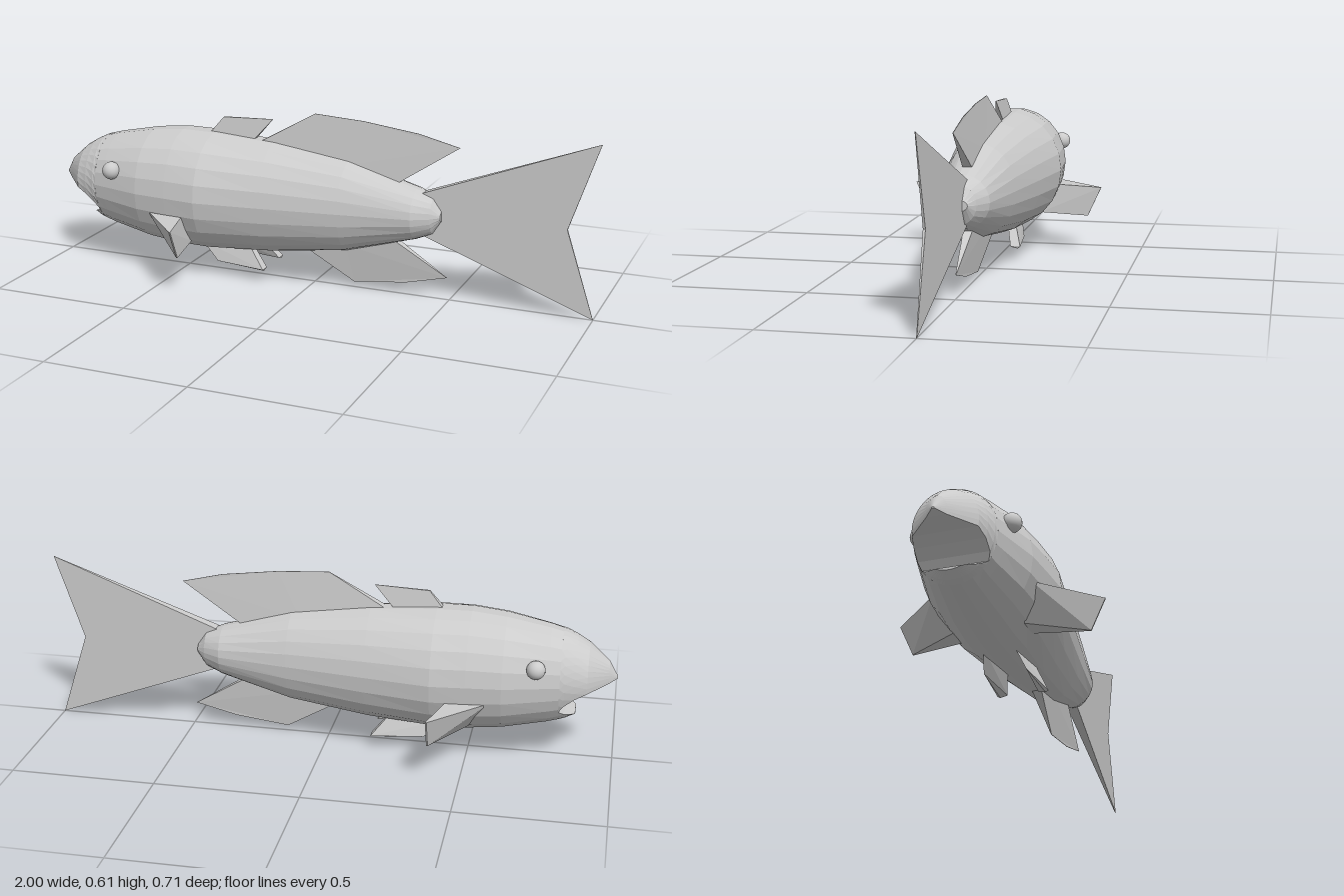
import * as THREE from 'three';
import { ConvexGeometry } from 'three/addons/geometries/ConvexGeometry.js';

const material = new THREE.MeshStandardMaterial({ color: 0xcccccc, flatShading: true, side: THREE.DoubleSide });
const smooth = new THREE.MeshStandardMaterial({ color: 0xcccccc });
const SEGMENTS = 22;

function toGeometry(positions, indices) {
  const g = new THREE.BufferGeometry();
  g.setAttribute('position', new THREE.Float32BufferAttribute(positions, 3));
  g.setIndex(indices);
  g.computeVertexNormals();
  return g;
}

// Loft along x through elliptical arcs [x, centreY, radiusY, radiusZ, arcStart, arcEnd].
// A partial arc is closed by its chord; both ends are capped.
function loft(sections) {
  const pos = [], idx = [], n = SEGMENTS;
  for (const [x, cy, ry, rz, a0 = 0, a1 = Math.PI * 2] of sections) {
    const steps = a1 - a0 > 6.28 ? n : n - 1;
    for (let i = 0; i < n; i++) {
      const a = a0 + (a1 - a0) * i / steps;
      pos.push(x, cy + ry * Math.sin(a), rz * Math.cos(a));
    }
  }
  const last = (sections.length - 1) * n;
  for (let s = 0; s < last; s += n) {
    for (let i = 0; i < n; i++) {
      const j = (i + 1) % n;
      idx.push(s + i, s + n + i, s + j, s + j, s + n + i, s + n + j);
    }
  }
  for (let i = 1; i < n - 1; i++) {
    idx.push(0, i, i + 1, last, last + i + 1, last + i);
  }
  return toGeometry(pos, idx);
}

// Clip an elliptical section at height y, keeping the part above or below it
function clip([x, cy, ry, rz], y, above) {
  const a = Math.asin(THREE.MathUtils.clamp((y - cy) / ry, -0.99, 0.99));
  return above ? [x, cy, ry, rz, a, Math.PI - a] : [x, cy, ry, rz, -Math.PI - a, a];
}

// Flat fin from outline points [x, y, halfThickness], bevelled to sharp tips
function fin(outline) {
  const n = outline.length, pos = [], idx = [];
  for (const side of [1, -1]) {
    for (const [x, y, t] of outline) pos.push(x, y, side * t);
  }
  const contour = outline.map(([x, y]) => new THREE.Vector2(x, y));
  const ccw = !THREE.ShapeUtils.isClockWise(contour);
  for (const [a, b, c] of THREE.ShapeUtils.triangulateShape(contour, [])) {
    idx.push(a, b, c, n + a, n + c, n + b);
  }
  for (let i = 0; i < n; i++) {
    const j = (i + 1) % n;
    if (ccw) idx.push(i, n + i, j, j, n + i, n + j);
    else idx.push(i, j, n + i, j, n + j, n + i);
  }
  return toGeometry(pos, idx);
}

export function createModel() {
  const model = new THREE.Group();
  model.name = 'fish';
  const add = (name, geometry, mat = material) => {
    const mesh = new THREE.Mesh(geometry, mat);
    mesh.name = name;
    model.add(mesh);
    return mesh;
  };

  // Body from the back of the mouth to the tail root
  const mouthBack = [-0.81, 0.305, 0.162, 0.137];
  add('body', loft([
    mouthBack,
    [-0.77, 0.305, 0.173, 0.147],
    [-0.62, 0.305, 0.203, 0.185],
    [-0.5, 0.305, 0.216, 0.196],
    [-0.38, 0.304, 0.216, 0.205],
    [-0.15, 0.302, 0.201, 0.17],
    [0.13, 0.301, 0.162, 0.128],
    [0.38, 0.301, 0.09, 0.09],
    [0.44, 0.301, 0.066, 0.058],
    [0.47, 0.303, 0.02, 0.035],
  ]));

  // Upper head overhanging the mouth
  add('upperHead', loft([
    clip([-1, 0.305, 0.004, 0.004], 0.303, true),
    clip([-0.97, 0.3, 0.062, 0.034], 0.292, true),
    clip([-0.9, 0.3, 0.122, 0.108], 0.278, true),
    clip([-0.86, 0.303, 0.143, 0.122], 0.258, true),
    clip([-0.825, 0.305, 0.158, 0.133], 0.23, true),
    clip(mouthBack, 0.205, true),
  ]));

  // Short lower jaw
  add('lowerJaw', loft([
    clip([-0.865, 0.305, 0.139, 0.12], 0.175, false),
    clip([-0.83, 0.305, 0.155, 0.132], 0.19, false),
    clip(mouthBack, 0.205, false),
  ]));

  // Fins on the centre line
  add('frontDorsalFin', fin([
    [-0.41, 0.5, 0.016], [-0.35, 0.572, 0.004], [-0.16, 0.58, 0.001], [-0.24, 0.49, 0.016],
  ]));
  add('rearDorsalFin', fin([
    [-0.22, 0.49, 0.018], [0, 0.615, 0.001], [0.18, 0.605, 0.001], [0.38, 0.58, 0.001],
    [0.525, 0.545, 0.001], [0.29, 0.39, 0.018], [0.1, 0.44, 0.018],
  ]));
  add('analFin', fin([
    [-0.03, 0.13, 0.018], [0.15, 0.02, 0.001], [0.34, 0.043, 0.001],
    [0.49, 0.08, 0.001], [0.28, 0.21, 0.018], [0.12, 0.16, 0.018],
  ]));
  add('tailFin', fin([
    [0.39, 0.375, 0.02], [1, 0.605, 0.001], [0.9, 0.305, 0.004], [1, 0.001, 0.001], [0.39, 0.235, 0.02],
  ]));

  // Paired parts
  for (const [side, s] of [['left', 1], ['right', -1]]) {
    const hull = (points) => new ConvexGeometry(points.map(([x, y, z]) => new THREE.Vector3(x, y, s * z)));

    add(side + 'Eye', new THREE.SphereGeometry(0.032, 20, 14), smooth).position.set(-0.73, 0.372, s * 0.153);

    add(side + 'PectoralFin', hull([
      [-0.58, 0.242, 0.165], [-0.44, 0.242, 0.165], [-0.39, 0.242, 0.355],
      [-0.395, 0.242, 0.355], [-0.51, 0.134, 0.12], [-0.43, 0.134, 0.12],
      [-0.39, 0.134, 0.306], [-0.395, 0.134, 0.306],
    ]));

    add(side + 'PelvicFin', hull([
      [-0.42, 0.115, 0.05], [-0.22, 0.115, 0.035], [-0.22, 0.115, 0.065],
      [-0.35, 0.054, 0.072], [-0.165, 0.049, 0.054], [-0.165, 0.043, 0.08], [-0.165, 0.049, 0.09],
    ]));
  }
  return model;
}
